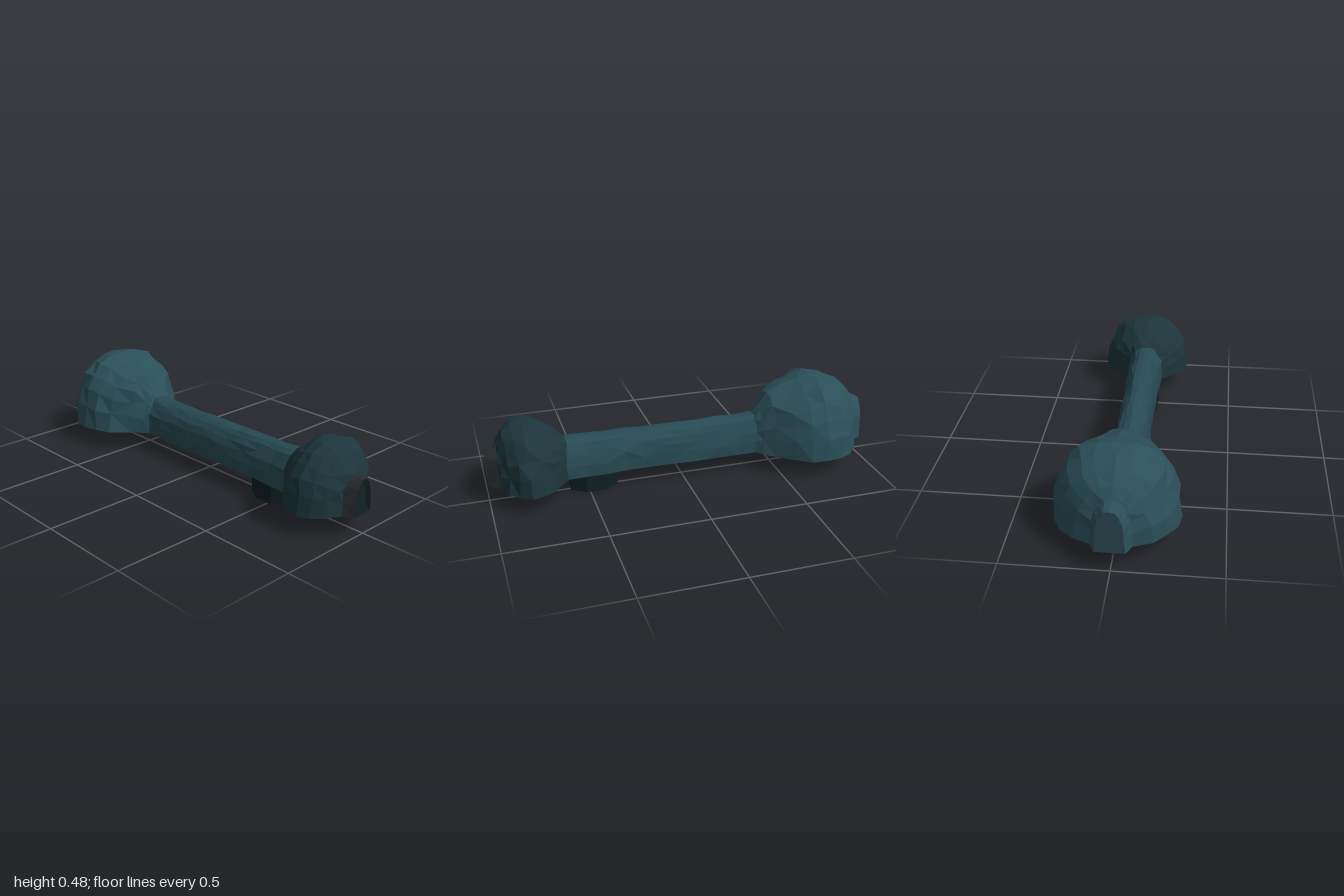
import * as THREE from 'three';

const FLOOR = 0.1;
const SEGMENTS = 12;

// Small repeatable offset in -1..1, so rings shared by two parts match exactly
function wobble(a, b) {
  const s = Math.sin(a * 127.1 + b * 311.7) * 43758.5453;
  return (s - Math.floor(s)) * 2 - 1;
}

// Arch cross-section: [z, centre x, half width, top y], a slightly squared half ellipse
function archRing([z, cx, w, top]) {
  const ring = [];
  const rough = Math.min(0.012, w * 0.06);
  for (let j = 0; j <= SEGMENTS; j++) {
    const a = Math.PI * j / SEGMENTS;
    const c = Math.cos(a), s = Math.sin(a);
    const end = j === 0 || j === SEGMENTS;
    const x = cx + Math.sign(c) * Math.pow(Math.abs(c), 0.85) * w + wobble(z, j) * rough;
    const y = end ? FLOOR : FLOOR + Math.pow(s, 0.85) * (top - FLOOR) + wobble(z + 3, j) * rough * 0.6;
    const dz = end || Math.abs(z) === 1 ? 0 : wobble(z + 7, j) * 0.008;
    ring.push([x, y, z + dz]);
  }
  return ring;
}

function buildGeometry(positions, index) {
  const geo = new THREE.BufferGeometry();
  geo.setAttribute('position', new THREE.Float32BufferAttribute(positions, 3));
  geo.setIndex(index);
  geo.computeVertexNormals();
  return geo;
}

function rockMaterial(color) {
  return new THREE.MeshStandardMaterial({ color, flatShading: true, side: THREE.DoubleSide });
}

// Rock shell lofted over arches ordered from back to front, plus its flat floor
function cavePart(name, sections, color, floorColor) {
  const group = new THREE.Group();
  group.name = name;
  const rings = sections.map(archRing);
  const n = SEGMENTS + 1;
  const shellIndex = [], floorPos = [], floorIndex = [];
  rings.forEach((ring, i) => {
    floorPos.push(...ring[0], ...ring[SEGMENTS]);
    if (i === 0) return;
    for (let j = 0; j < SEGMENTS; j++) {
      const a = (i - 1) * n + j, b = a + 1, c = i * n + j, d = c + 1;
      if ((i + j) % 2) shellIndex.push(a, b, c, b, d, c);
      else shellIndex.push(a, b, d, a, d, c);
    }
    const f = (i - 1) * 2;
    floorIndex.push(f, f + 2, f + 1, f + 1, f + 2, f + 3);
  });
  const shell = new THREE.Mesh(buildGeometry(rings.flat(2), shellIndex), rockMaterial(color));
  shell.name = name + 'Shell';
  const floor = new THREE.Mesh(buildGeometry(floorPos, floorIndex), rockMaterial(floorColor));
  floor.name = name + 'Floor';
  group.add(shell, floor);
  return group;
}

export function createModel() {
  const model = new THREE.Group();
  model.name = 'caveTunnel';

  // Rings where neighbouring parts join
  const backNeck = [-0.95, 0, 0.095, 0.335];
  const tunnelBack = [-0.39, -0.005, 0.092, 0.297];
  const tunnelFront = [0.61, -0.01, 0.1, 0.3];
  const frontNeck = [0.95, -0.01, 0.09, 0.29];

  // Open rear entrance
  model.add(cavePart('backEntrance', [[-1, 0.003, 0.067, 0.315], backNeck], 0x2b5059, 0x1c343a));

  // Large rear chamber
  model.add(cavePart('largeChamber', [
    backNeck,
    [-0.915, 0, 0.17, 0.39],
    [-0.86, 0, 0.235, 0.43],
    [-0.79, 0, 0.272, 0.47],
    [-0.71, 0, 0.293, 0.485],
    [-0.63, 0, 0.278, 0.463],
    [-0.55, 0, 0.235, 0.43],
    [-0.47, 0, 0.165, 0.398],
    [-0.42, 0, 0.115, 0.33],
    tunnelBack,
  ], 0x2b5059, 0x1c343a));

  // Long straight tunnel
  const tunnel = [tunnelBack];
  for (let i = 1; i < 10; i++) {
    tunnel.push([-0.39 + i * 0.1, -0.006, 0.09 + 0.004 * wobble(i, 5), 0.293 + 0.005 * wobble(i, 9)]);
  }
  tunnel.push(tunnelFront);
  model.add(cavePart('tunnel', tunnel, 0x274a52, 0x14262a));

  // Small front chamber
  model.add(cavePart('smallChamber', [
    tunnelFront,
    [0.65, -0.01, 0.145, 0.33],
    [0.7, -0.01, 0.195, 0.372],
    [0.75, -0.01, 0.225, 0.4],
    [0.81, -0.01, 0.237, 0.41],
    [0.865, -0.01, 0.215, 0.396],
    [0.91, -0.01, 0.165, 0.36],
    [0.935, -0.01, 0.115, 0.322],
    frontNeck,
  ], 0x1c353b, 0x101e21));

  // Open front entrance
  model.add(cavePart('frontEntrance', [frontNeck, [1, -0.01, 0.055, 0.272]], 0x252a2c, 0x101e21));

  // Short pit sunk below the tunnel floor
  const pitGeo = new THREE.CylinderGeometry(0.098, 0.094, 0.1, 8, 2);
  pitGeo.rotateY(Math.PI / 8);
  const p = pitGeo.attributes.position;
  for (let i = 0; i < p.count; i++) {
    const x = p.getX(i), y = p.getY(i), z = p.getZ(i);
    const bottomLift = y < -0.04 ? 0.003 + 0.003 * wobble(Math.round(x * 100), Math.round(z * 100)) : 0;
    p.setXYZ(i, x * 0.95, y + bottomLift, z * 1.38);
  }
  pitGeo.computeVertexNormals();
  const pit = new THREE.Mesh(pitGeo, rockMaterial(0x101f21));
  pit.name = 'pit';
  pit.position.set(-0.01, 0.05, 0.47);
  model.add(pit);

  return model;
}
